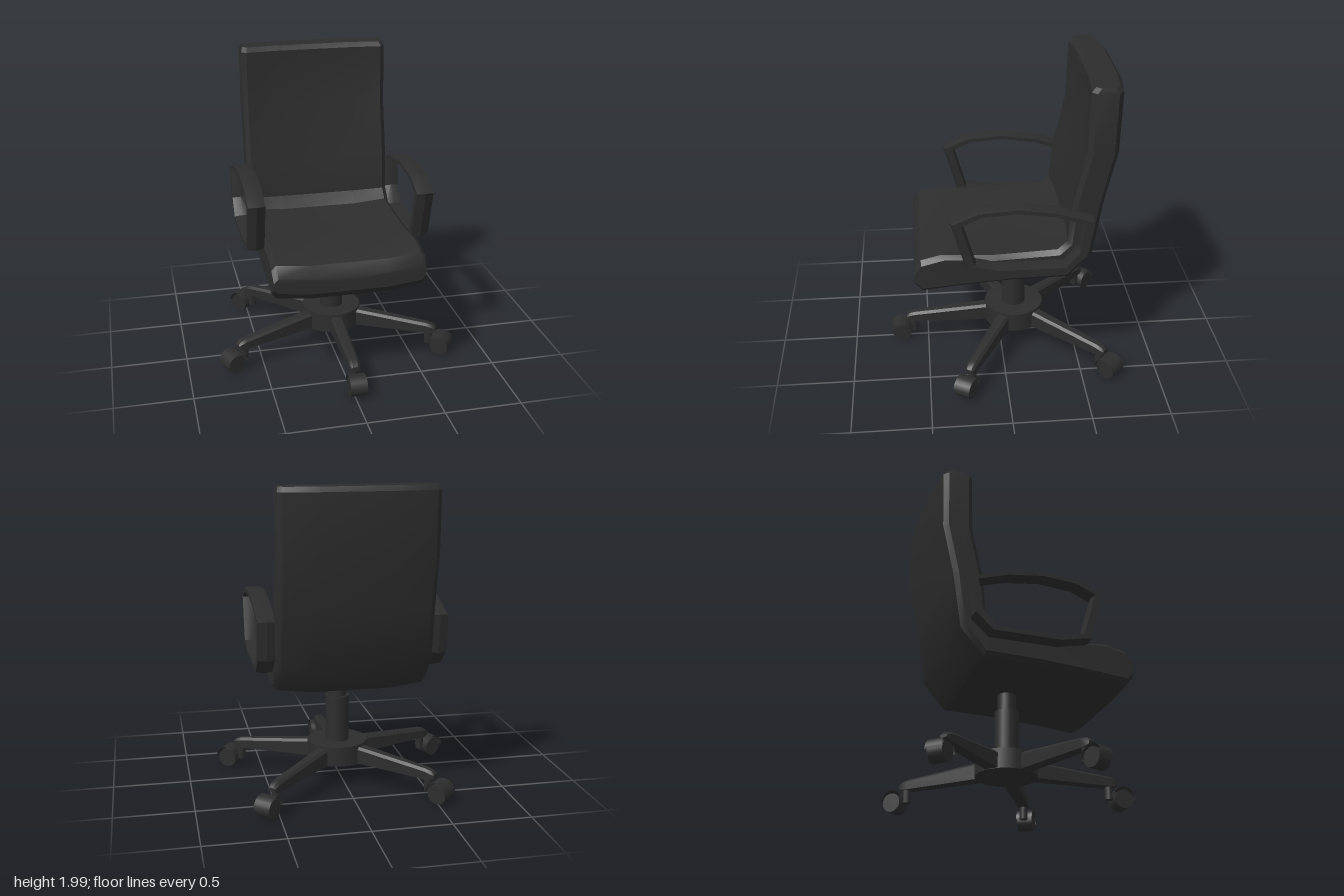
import * as THREE from 'three';
import { toCreasedNormals } from 'three/addons/utils/BufferGeometryUtils.js';

const charcoal = new THREE.MeshStandardMaterial({ color: 0x2d2d2d, side: THREE.DoubleSide });
charcoal.name = 'charcoal';

function part(name, geometry, x = 0, y = 0, z = 0) {
  const mesh = new THREE.Mesh(geometry, charcoal);
  mesh.name = name;
  mesh.position.set(x, y, z);
  return mesh;
}

// Skin a row of rings of [x, y, z]; a loop joins its last ring to its first, otherwise ends are capped
function loft(rings, loop = false, crease = 0.6) {
  const tris = [], n = rings[0].length;
  for (let i = 0; i < rings.length - (loop ? 0 : 1); i++) {
    const a = rings[i], b = rings[(i + 1) % rings.length];
    for (let j = 0; j < n; j++) {
      const k = (j + 1) % n;
      tris.push([a[j], b[j], b[k]], [a[j], b[k], a[k]]);
    }
  }
  if (!loop) {
    const cap = (ring, flip) => {
      const mid = [0, 1, 2].map(c => ring.reduce((s, p) => s + p[c], 0) / n);
      ring.forEach((p, j) => {
        const q = ring[(j + 1) % n];
        tris.push(flip ? [mid, q, p] : [mid, p, q]);
      });
    };
    cap(rings[0], false);
    cap(rings[rings.length - 1], true);
  }
  // Turn every face outward using the sign of the enclosed volume
  let volume = 0;
  for (const [a, b, c] of tris) {
    volume += a[0] * (b[1] * c[2] - b[2] * c[1]) + a[1] * (b[2] * c[0] - b[0] * c[2]) + a[2] * (b[0] * c[1] - b[1] * c[0]);
  }
  if (volume < 0) tris.forEach(t => t.reverse());
  const geometry = new THREE.BufferGeometry();
  geometry.setAttribute('position', new THREE.Float32BufferAttribute(tris.flat(2), 3));
  return toCreasedNormals(geometry, crease);
}

// One-piece seat and backrest: sitting-side point and outer-side point (z, y), width factor
function seatShell() {
  const stations = [
    [0.575, 0.815, 0.575, 0.69, 0.985],
    [0.53, 0.885, 0.525, 0.637, 1],
    [0.40, 0.918, 0.24, 0.67, 1],
    [0.07, 0.90, -0.05, 0.69, 1],
    [-0.33, 0.92, -0.41, 0.695, 1],
    [-0.39, 0.98, -0.57, 0.875, 1],
    [-0.41, 1.215, -0.63, 1.26, 1],
    [-0.49, 1.58, -0.705, 1.58, 1],
    [-0.50, 1.965, -0.715, 1.965, 1],
    [-0.525, 1.995, -0.69, 1.995, 0.98],
  ];
  return loft(stations.map(([z0, y0, z1, y1, w]) => {
    const len = Math.hypot(z1 - z0, y1 - y0);
    const half = [[0.25, 0.022], [0.46, 0], [0.49, 0.03], [0.49, len - 0.055], [0.46, len - 0.025], [0.25, len]];
    const outline = [...half, ...half.map(([x, s]) => [-x, s]).reverse()];
    return outline.map(([x, s]) => [x * w, y0 + (y1 - y0) * s / len, z0 + (z1 - z0) * s / len]);
  }));
}

// Looped armrest: outer and inner edge points (z, y), with a ridge along the middle of the band
function armrest(side) {
  const path = [
    [0.35, 1.2, 0.27, 1.183], [0.185, 1.273, 0.15, 1.236], [-0.06, 1.29, -0.06, 1.252],
    [-0.30, 1.257, -0.285, 1.22], [-0.535, 1.183, -0.47, 1.16], [-0.505, 0.93, -0.445, 0.975],
    [-0.387, 0.828, -0.36, 0.87], [0.06, 0.828, 0.045, 0.87], [0.255, 0.87, 0.19, 0.905],
  ];
  const section = [[0.485, 0.2], [0.54, 0], [0.595, 0.2], [0.595, 0.85], [0.54, 1], [0.485, 0.85]];
  return loft(path.map(([z0, y0, z1, y1]) =>
    section.map(([x, t]) => [side * x, y0 + (y1 - y0) * t, z0 + (z1 - z0) * t])), true, 0.4);
}

// Tapered base leg running along +z
function leg(length) {
  const rings = [
    [0.1, 0.143, 0.262, 0.045], [length - 0.06, 0.143, 0.21, 0.035],
    [length - 0.02, 0.145, 0.2, 0.033], [length, 0.155, 0.18, 0.024],
  ];
  return loft(rings.map(([z, lo, hi, w]) => {
    const c = Math.min(0.016, (hi - lo) * 0.3);
    return [[-w, lo], [w, lo], [w, hi - c], [w - c, hi], [c - w, hi], [-w, hi - c]].map(([x, y]) => [x, y, z]);
  }));
}

// Caster rolling along its own z, with a thin hood over the wheel and a swivel stem
function caster() {
  const group = new THREE.Group();
  group.name = 'caster';
  const wheel = new THREE.CylinderGeometry(0.062, 0.062, 0.1, 20).rotateZ(Math.PI / 2);
  const hood = new THREE.CylinderGeometry(0.077, 0.077, 0.11, 12, 1, true, 0, Math.PI).rotateZ(Math.PI / 2);
  group.add(
    part('wheel', wheel, 0, 0.063, 0),
    part('hood', hood, 0, 0.066, 0),
    part('stem', new THREE.CylinderGeometry(0.027, 0.027, 0.1, 12), 0, 0.11, -0.085),
    part('axleBracket', new THREE.BoxGeometry(0.03, 0.04, 0.06), 0, 0.08, -0.075));
  return group;
}

export function createModel() {
  const chair = new THREE.Group();
  chair.name = 'officeChair';
  chair.add(part('seatAndBackrest', seatShell()));
  chair.add(part('leftArmrest', armrest(1)), part('rightArmrest', armrest(-1)));

  // Gas column and hub
  const cx = 0.023, cz = -0.097;
  chair.add(
    part('upperColumn', new THREE.CylinderGeometry(0.06, 0.06, 0.2, 20), cx, 0.62, cz),
    part('lowerColumn', new THREE.CylinderGeometry(0.078, 0.078, 0.335, 20), cx, 0.4075, cz),
    part('hub', new THREE.CylinderGeometry(0.198, 0.198, 0.13, 24), cx, 0.205, cz));

  // Wheel centre (x, z) and caster heading in degrees for each leg
  const feet = [[0.017, 0.68, 0], [0.706, 0.272, 59], [0.57, -0.68, 137], [-0.523, -0.664, -135], [-0.706, 0.208, -65]];
  for (const [x, z, degrees] of feet) {
    const heading = THREE.MathUtils.degToRad(degrees);
    const foot = caster();
    foot.position.set(x, 0, z);
    foot.rotation.y = heading;
    const dx = x - Math.sin(heading) * 0.085 - cx, dz = z - Math.cos(heading) * 0.085 - cz;
    const baseLeg = part('baseLeg', leg(Math.hypot(dx, dz) + 0.05), cx, 0, cz);
    baseLeg.rotation.y = Math.atan2(dx, dz);
    chair.add(baseLeg, foot);
  }
  return chair;
}
